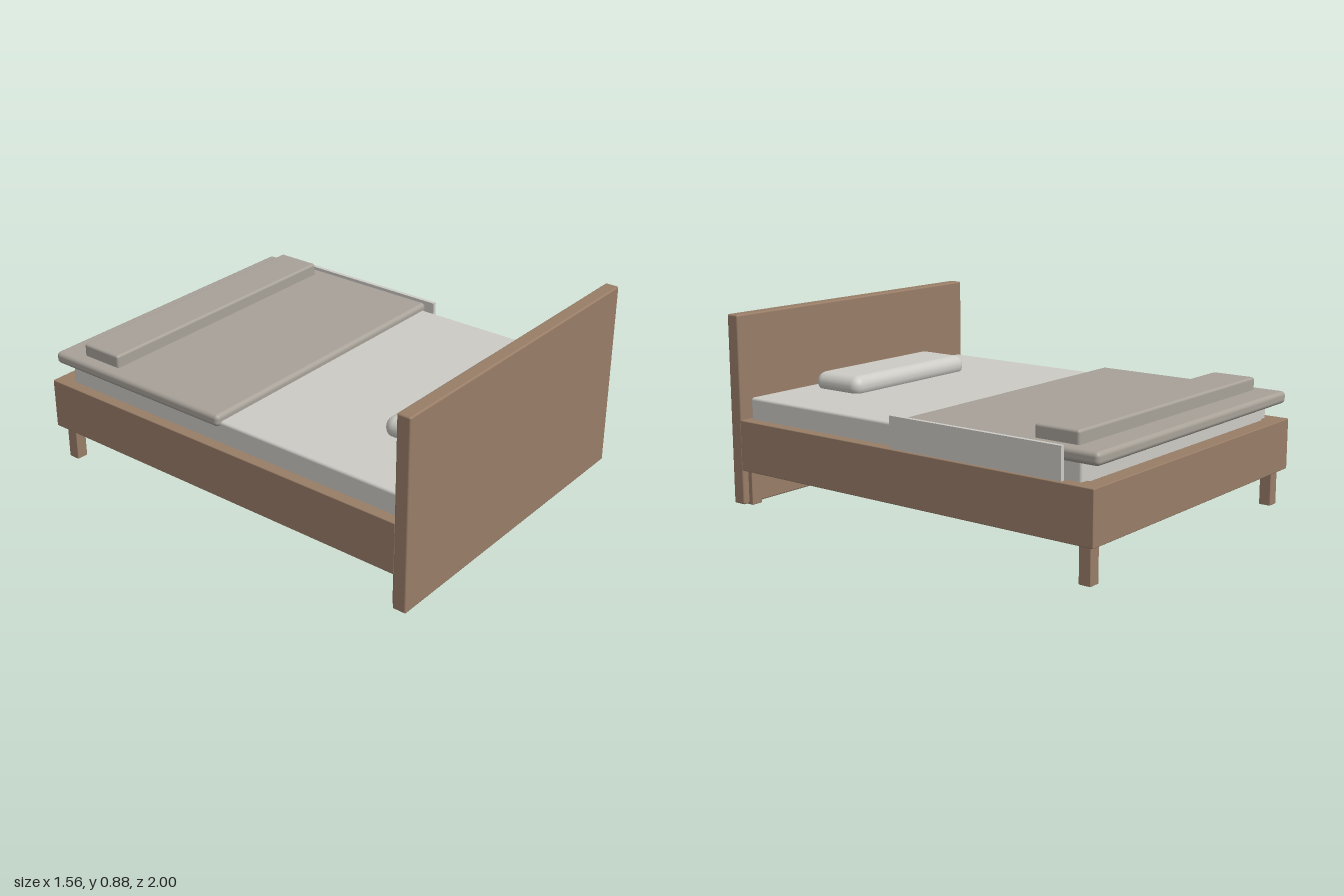
import * as THREE from 'three';
import { RoundedBoxGeometry } from 'three/addons/geometries/RoundedBoxGeometry.js';

const mat = (color) => new THREE.MeshStandardMaterial({ color });

export function createModel() {
  const bed = new THREE.Group();
  bed.name = 'bed';
  const wood = mat(0x987d67), sheet = mat(0xcccbc5), blanket = mat(0xa7a198), dark = mat(0x2c2c2c);

  // Box from its min and max corners, rounded when a radius is given
  function block(name, material, [x0, y0, z0], [x1, y1, z1], radius = 0, parent = bed) {
    const w = x1 - x0, h = y1 - y0, d = z1 - z0;
    const geometry = radius
      ? new RoundedBoxGeometry(w, h, d, 4, radius)
      : new THREE.BoxGeometry(w, h, d);
    const mesh = new THREE.Mesh(geometry, material);
    mesh.name = name;
    mesh.position.set((x0 + x1) / 2, (y0 + y1) / 2, (z0 + z1) / 2);
    parent.add(mesh);
    return mesh;
  }

  // Frame: tall headboard, side rails, foot rail and four square legs
  block('headboard', wood, [-0.78, 0.004, 0.935], [0.78, 0.88, 1], 0.008);
  block('footRail', wood, [-0.78, 0.165, -1], [0.78, 0.4, -0.92], 0.004);
  for (const side of [-1, 1]) {
    const name = side > 0 ? 'left' : 'right';
    const x = 0.735 * side;
    block(name + 'SideRail', wood, [x - 0.045, 0.165, -0.99], [x + 0.045, 0.4, 0.94], 0.004);
    for (const z of [-0.94, 0.94]) {
      const lx = 0.72 * side;
      block(name + (z > 0 ? 'HeadLeg' : 'FootLeg'), wood,
        [lx - 0.028, 0, z - 0.028], [lx + 0.028, 0.2, z + 0.028], 0.003);
    }
  }

  // Dark slats across the frame with narrow gaps
  const slats = new THREE.Group();
  slats.name = 'slats';
  bed.add(slats);
  const count = 10, pitch = 1.855 / count;
  for (let i = 0; i < count; i++) {
    const z = -0.92 + i * pitch;
    block('slat', dark, [-0.69, 0.34, z + 0.015], [0.69, 0.37, z + pitch - 0.015], 0.004, slats);
  }

  // Bedding
  block('mattress', sheet, [-0.73, 0.375, -0.91], [0.73, 0.5, 0.92], 0.012);
  block('pillow', sheet, [-0.39, 0.48, 0.58], [0.39, 0.577, 0.86], 0.047);
  block('blanket', blanket, [-0.75, 0.476, -1], [0.75, 0.532, -0.005], 0.02);
  block('foldedThrow', blanket, [-0.69, 0.52, -0.87], [0.69, 0.59, -0.655], 0.012);
  block('sideDrape', sheet, [0.748, 0.395, -0.84], [0.767, 0.54, 0.04]);

  return bed;
}
